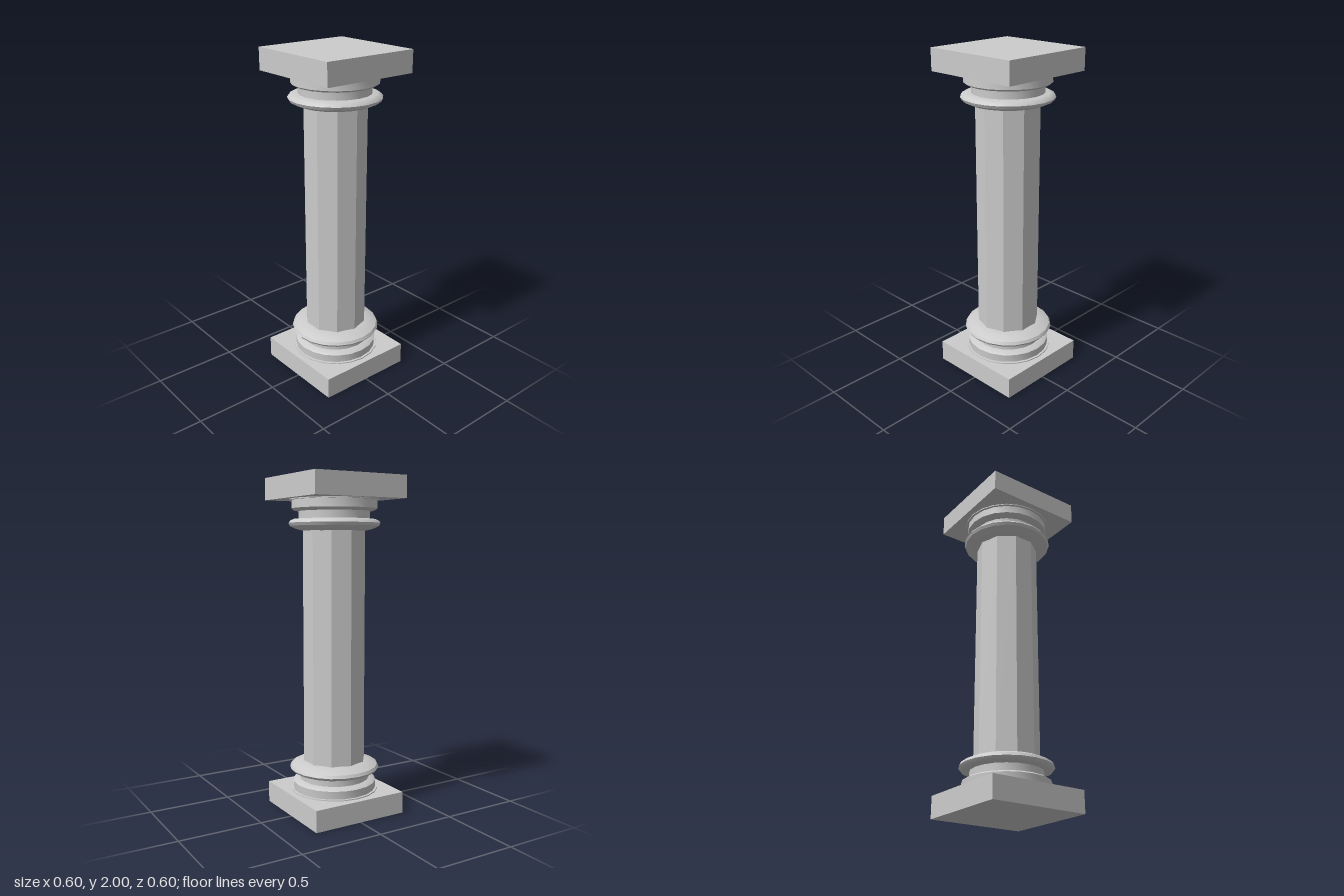
import * as THREE from 'three';
import { toCreasedNormals } from 'three/addons/utils/BufferGeometryUtils.js';

const HEIGHT = 2;
const PLINTH = { width: 0.6, height: 0.13 };
const SIDES = 20;

// Turned ring from [radius, y] points listed bottom to top
function turned(name, points, material) {
  const profile = points.map(([r, y]) => new THREE.Vector2(r, y));
  const geometry = toCreasedNormals(new THREE.LatheGeometry(profile, SIDES), 0.6);
  const mesh = new THREE.Mesh(geometry, material);
  mesh.name = name;
  return mesh;
}

// Square slab with stacked mouldings, standing on y = 0
function createEnd(name, slabName, material) {
  const end = new THREE.Group();
  end.name = name;

  const slab = new THREE.Mesh(
    new THREE.BoxGeometry(PLINTH.width, PLINTH.height, PLINTH.width), material);
  slab.name = slabName;
  slab.position.y = PLINTH.height / 2;
  end.add(slab);

  end.add(turned('thinCollar', [
    [0.264, 0.13], [0.264, 0.136], [0.2, 0.138],
  ], material));
  end.add(turned('lowerMoulding', [
    [0.25, 0.136], [0.252, 0.184], [0.235, 0.195], [0.2, 0.201],
  ], material));
  end.add(turned('neck', [[0.21, 0.195], [0.21, 0.25]], material));
  end.add(turned('roundMoulding', [
    [0.19, 0.243], [0.24, 0.244], [0.262, 0.254], [0.271, 0.267],
    [0.262, 0.284], [0.226, 0.301], [0.18, 0.312], [0.1, 0.312],
  ], material));
  return end;
}

export function createModel() {
  const material = new THREE.MeshStandardMaterial({ color: 0xcccccc });
  const column = new THREE.Group();
  column.name = 'column';

  // Base, and the same part upside down as the capital
  column.add(createEnd('base', 'plinth', material));
  const capital = createEnd('capital', 'topSlab', material);
  capital.rotation.z = Math.PI;
  capital.position.y = HEIGHT;
  column.add(capital);

  // Ten-sided shaft with crisp edges
  const shaftMaterial = material.clone();
  shaftMaterial.flatShading = true;
  const shaft = new THREE.Mesh(
    new THREE.CylinderGeometry(0.188, 0.188, 1.4, 10, 1, true), shaftMaterial);
  shaft.name = 'shaft';
  shaft.position.y = HEIGHT / 2;
  column.add(shaft);

  return column;
}
